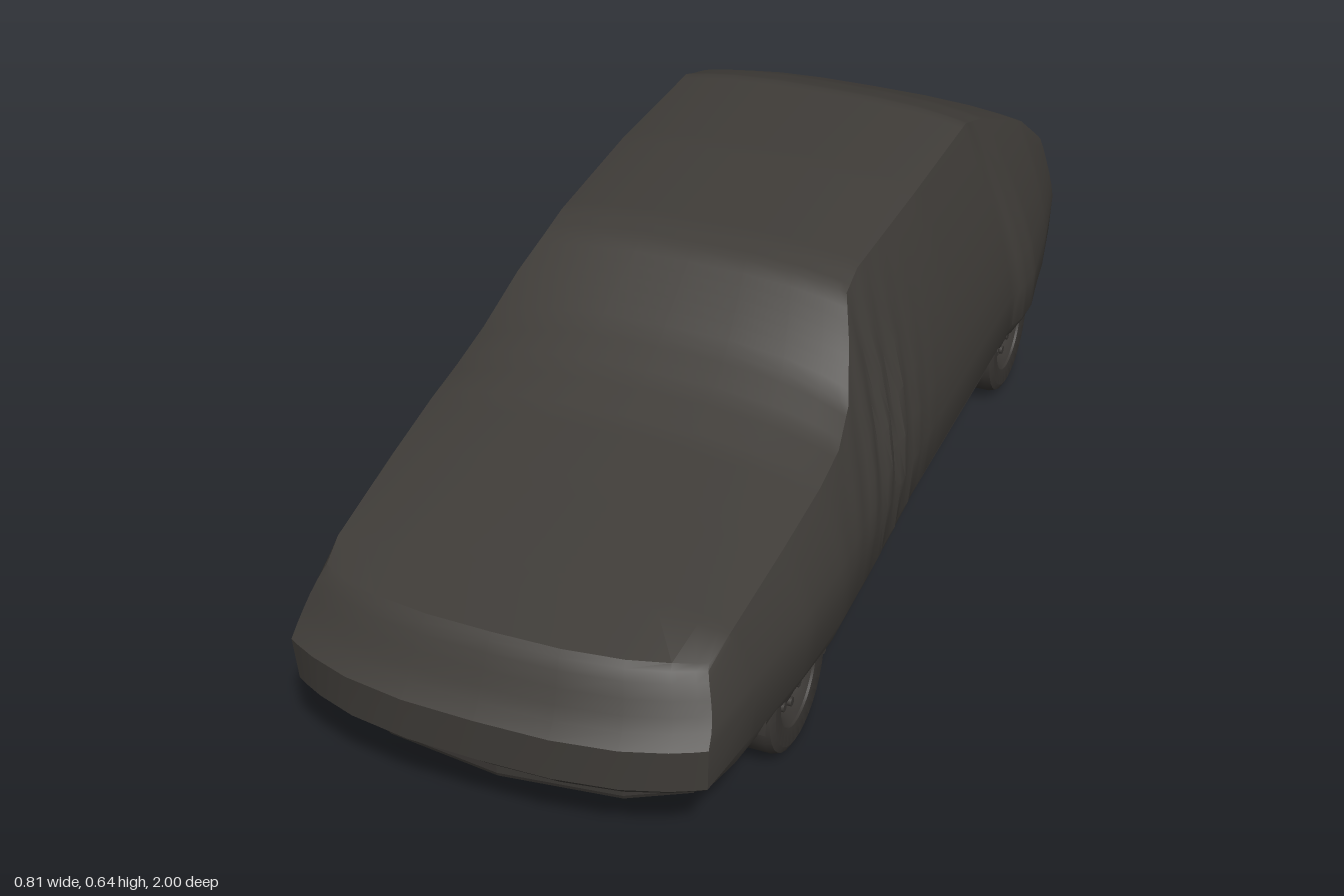
import * as THREE from 'three';
import { toCreasedNormals } from 'three/addons/utils/BufferGeometryUtils.js';

const cloth = new THREE.MeshStandardMaterial({ color: 0x403d39, side: THREE.DoubleSide });
const dark = new THREE.MeshStandardMaterial({ color: 0x3a3734, side: THREE.DoubleSide });

// Cover sections, front to back: z, top y, edge half width, edge y, widest half width, hem y
const STATIONS = [
  [0.855, 0.365, 0.325, 0.352, 0.355, 0.125],
  [0.80, 0.385, 0.335, 0.368, 0.37, 0.12],
  [0.60, 0.42, 0.345, 0.395, 0.395, 0.125],
  [0.45, 0.448, 0.35, 0.415, 0.402, 0.115],
  [0.36, 0.48, 0.348, 0.43, 0.40, 0.115],
  [0.28, 0.52, 0.335, 0.465, 0.398, 0.115],
  [0.20, 0.575, 0.305, 0.54, 0.394, 0.115],
  [0.14, 0.617, 0.278, 0.592, 0.392, 0.115],
  [0.08, 0.63, 0.275, 0.608, 0.39, 0.118],
  [-0.20, 0.64, 0.283, 0.615, 0.39, 0.12],
  [-0.50, 0.634, 0.283, 0.613, 0.39, 0.13],
  [-0.53, 0.625, 0.282, 0.602, 0.40, 0.13],
  [-0.60, 0.60, 0.285, 0.578, 0.403, 0.125],
  [-0.80, 0.506, 0.31, 0.485, 0.378, 0.115],
  [-0.905, 0.425, 0.32, 0.405, 0.348, 0.118],
];
const TOP = [-1, -0.95, -0.85, -0.65, -0.35, 0, 0.35, 0.65, 0.85, 0.95, 1];
const DROP = [0, 0.07, 0.2, 0.4, 0.6, 0.8, 1]; // edge to widest line
const MID = 0.25;
// End profiles: z at the centre line for each level from edge to hem
const NOSE = { z: [0.925, 0.935, 0.945, 0.957, 0.968, 0.982, 1.0, 0.995, 0.95], bulge: 0.07, p: 3 };
const TAIL = { z: [-0.95, -0.96, -0.966, -0.973, -0.981, -0.989, -0.997, -1.0, -0.975], bulge: -0.045, p: 6 };

// One side of a section, edge to hem, as [half width, y, level]
function sideLevels([, , we, ye, wm, yb]) {
  const pts = DROP.map((s) => [we + (wm - we) * (1 - (1 - s) ** 1.5), ye - (ye - MID) * s, s]);
  pts.push([wm - 0.004, 0.17, 1.2], [wm - 0.025, yb, 1.4]);
  return pts;
}

// Whole section from right hem over the top to left hem
function ring(st, end) {
  const [z, yT, we, ye] = st;
  const levels = sideLevels(st);
  const side = (sx) => levels.map(([w, y, s], k) => {
    const fold = 0.006 * Math.sin(75 * (z + 0.45 * y) + sx) * Math.exp(-(((z - 0.16) / 0.15) ** 2)) * Math.sin(Math.min(s, 1) * 2.6);
    const lean = 0.04 * s * Math.exp(-(((z + 0.53) / 0.15) ** 2));
    return [sx * (w + fold), y, end ? end.z[k] - end.bulge : z - lean];
  });
  const top = TOP.slice(1, -1).map((t) => [
    t * we,
    yT - (yT - ye) * Math.abs(t) ** 3,
    end ? end.z[0] - end.bulge * Math.abs(t) ** end.p : z,
  ]);
  return [...side(-1).reverse(), ...top, ...side(1)];
}

// Rows that close the nose or the tail, from the top edge down to the hem
function endRows(st, end) {
  const [, yT, we, ye] = st;
  return sideLevels(st).map(([w, y], k) => TOP.map((t) => [
    t * (k ? w : we),
    k ? y + (yT - ye) * (1 - Math.abs(t) ** 3) * Math.max(0, 1 - k / 5) : yT - (yT - ye) * Math.abs(t) ** 3,
    end.z[k] - end.bulge * Math.abs(t) ** end.p,
  ]));
}

function addGrid(rows, pos, idx, flip) {
  const base = pos.length / 3, n = rows[0].length;
  rows.forEach((r) => r.forEach((p) => pos.push(...p)));
  for (let j = 0; j < rows.length - 1; j++) for (let i = 0; i < n - 1; i++) {
    const a = base + j * n + i, b = a + 1, c = a + n, d = c + 1;
    if (flip) idx.push(a, c, b, b, c, d);
    else idx.push(a, b, c, b, d, c);
  }
}

function coverGeometry() {
  const rows = [], pos = [], idx = [], last = STATIONS.length - 1;
  for (let k = 0; k < last; k++) {
    const a = STATIONS[k], b = STATIONS[k + 1];
    const steps = Math.ceil((a[0] - b[0]) / 0.022);
    for (let i = 0; i < steps; i++) {
      // the first and last bays are single spans between the end rows
      if (i && (k === 0 || k === last - 1)) continue;
      rows.push(ring(a.map((v, j) => v + (b[j] - v) * i / steps), k === 0 ? NOSE : null));
    }
  }
  rows.push(ring(STATIONS[last], TAIL));
  addGrid(rows, pos, idx, false);
  addGrid(endRows(STATIONS[0], NOSE), pos, idx, true);
  addGrid(endRows(STATIONS[last], TAIL), pos, idx, false);
  const g = new THREE.BufferGeometry();
  g.setAttribute('position', new THREE.Float32BufferAttribute(pos, 3));
  g.setIndex(idx);
  return toCreasedNormals(g, 0.45);
}

function add(parent, name, geo, x = 0, y = 0, z = 0, mat = dark) {
  const m = new THREE.Mesh(geo, mat);
  m.name = name;
  m.position.set(x, y, z);
  parent.add(m);
  return m;
}
const box = (w, h, d) => new THREE.BoxGeometry(w, h, d);
const rod = (r, len, axis) => {
  const g = new THREE.CylinderGeometry(r, r, len, 14);
  return axis === 'x' ? g.rotateZ(Math.PI / 2) : g.rotateX(Math.PI / 2);
};
// Plan outline (x, z) raised upward by h from y = 0
function slab(points, h, bevel = 0) {
  const s = new THREE.Shape(points.map(([x, z]) => new THREE.Vector2(x, -z)));
  return new THREE.ExtrudeGeometry(s, {
    depth: h, bevelEnabled: bevel > 0, bevelSize: bevel, bevelThickness: bevel, bevelSegments: 2,
  }).rotateX(-Math.PI / 2);
}

// Wheel with its axle on x and its outer face toward +x
function makeWheel() {
  const w = new THREE.Group();
  w.name = 'wheel';
  const tire = [[0.08, -0.034], [0.11, -0.037], [0.121, -0.031], [0.125, -0.02], [0.125, 0.02],
    [0.121, 0.031], [0.11, 0.037], [0.08, 0.034], [0.078, 0.02], [0.078, -0.02], [0.08, -0.034]];
  const lathe = (pts, n) => toCreasedNormals(
    new THREE.LatheGeometry(pts.map(([r, y]) => new THREE.Vector2(r, y)), n).rotateZ(-Math.PI / 2), 0.6);
  add(w, 'tire', lathe(tire, 32));
  add(w, 'rim', lathe([[0, -0.005], [0.07, -0.005], [0.08, -0.03], [0.08, 0.03], [0.07, 0.024], [0.058, 0.012],
    [0.035, 0.022], [0.02, 0.028], [0, 0.03]], 32));
  for (let i = 0; i < 8; i++) {
    const a = i * Math.PI / 4;
    add(w, 'rimStud', rod(0.008, 0.008, 'x'), 0.02, 0.048 * Math.cos(a), 0.048 * Math.sin(a));
  }
  add(w, 'brakeDrum', rod(0.055, 0.04, 'x'), -0.025);
  return w;
}

export function createModel() {
  const car = new THREE.Group();
  car.name = 'coveredCar';
  add(car, 'fabricCover', coverGeometry(), 0, 0, 0, cloth);

  // Floor pan notched around the wheels
  const half = [[0.30, 0.88], [0.34, 0.74], [0.25, 0.74], [0.25, 0.42], [0.37, 0.42], [0.37, -0.44],
    [0.25, -0.44], [0.25, -0.76], [0.34, -0.76], [0.32, -0.94]];
  add(car, 'floorPan', slab([...half, ...half.map(([x, z]) => [-x, z]).reverse()], 0.012), 0, 0.128);

  // Lower front apron
  const lip = [[0.29, 0.72], [0.29, 0.85], [0.2, 0.90], [0, 0.925], [-0.2, 0.90], [-0.29, 0.85], [-0.29, 0.72]];
  add(car, 'frontApron', slab(lip, 0.03, 0.012), 0, 0.097);

  for (const s of [-1, 1]) {
    for (const z of [0.58, -0.6]) {
      const wheel = makeWheel();
      wheel.position.set(s * 0.333, 0.125, z);
      if (s < 0) wheel.rotation.y = Math.PI;
      car.add(wheel);

      // Arched wheel housing, open at the bottom
      const arch = new THREE.CylinderGeometry(0.155, 0.155, 0.12, 20, 1, true, 0, Math.PI).rotateZ(Math.PI / 2);
      add(car, 'wheelHousing', arch, s * 0.31, 0.13, z);
      const wall = new THREE.CircleGeometry(0.155, 20, 0, Math.PI).rotateY(Math.PI / 2);
      add(car, 'housingWall', wall, s * 0.25, 0.13, z);

      const flap = add(car, 'mudFlap', box(0.115, 0.075, 0.008), s * 0.295, 0.092, z - 0.162);
      flap.rotation.x = 0.12;
      const arm = add(car, 'suspensionArm', box(0.2, 0.02, 0.03), s * 0.21, 0.115, z);
      arm.rotation.y = s * 0.3;
    }
    // Floor rails, sills and raised panels
    add(car, 'sillRail', box(0.02, 0.025, 0.84), s * 0.35, 0.125, -0.01);
    add(car, 'floorRail', box(0.03, 0.022, 1.1), s * 0.17, 0.118, 0.02);
    for (const z of [0.22, -0.2]) add(car, 'floorPanel', box(0.11, 0.012, 0.3), s * 0.26, 0.124, z);
    add(car, 'rearRail', box(0.03, 0.025, 0.42), s * 0.2, 0.12, -0.7);
  }

  // Axles, drivetrain and exhaust
  add(car, 'frontAxle', rod(0.014, 0.6, 'x'), 0, 0.125, 0.58);
  add(car, 'rearAxle', rod(0.018, 0.6, 'x'), 0, 0.122, -0.6);
  add(car, 'engineSump', box(0.16, 0.05, 0.2), 0, 0.115, 0.6);
  add(car, 'gearbox', box(0.1, 0.045, 0.2), 0, 0.118, 0.38);
  add(car, 'centreTunnel', box(0.07, 0.025, 0.75), 0, 0.122, -0.1);
  const pipe = new THREE.CatmullRomCurve3([[0.06, 0.6], [0.08, 0.4], [0.08, 0], [0.1, -0.4], [0.13, -0.55], [0.13, -0.93]]
    .map(([x, z]) => new THREE.Vector3(x, 0.112, z)));
  add(car, 'exhaustPipe', new THREE.TubeGeometry(pipe, 40, 0.011, 10));
  add(car, 'frontSilencer', box(0.08, 0.03, 0.26), 0.08, 0.11, 0.16);
  add(car, 'rearSilencer', rod(0.026, 0.2, 'z'), 0.13, 0.122, -0.8);
  add(car, 'fuelTank', box(0.24, 0.03, 0.16), -0.02, 0.12, -0.42);
  for (const z of [0.44, 0.0, -0.5, -0.72]) add(car, 'crossMember', box(0.5, 0.02, 0.035), 0, 0.12, z);
  return car;
}
